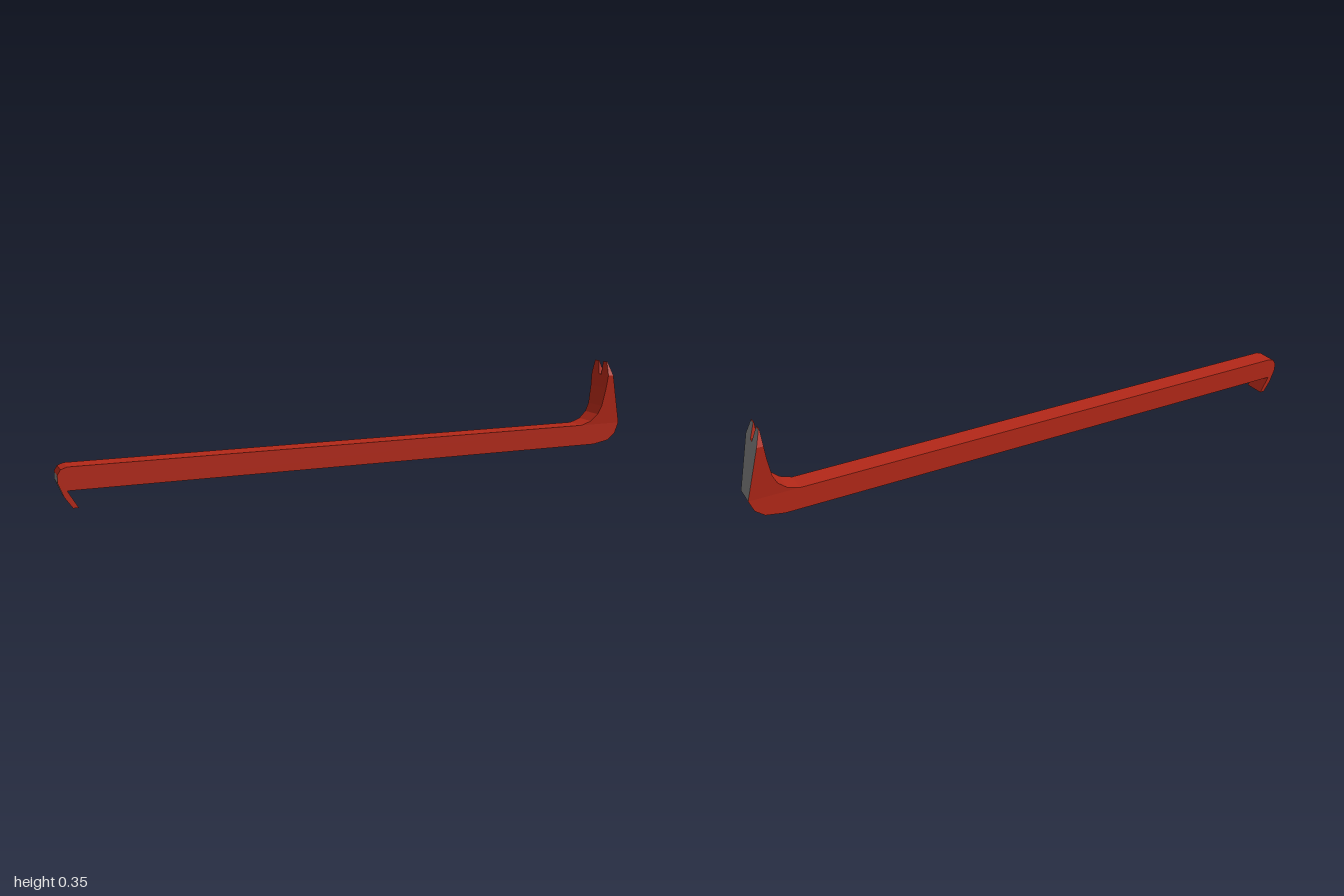
import * as THREE from 'three';

const RED = new THREE.MeshStandardMaterial({ color: 0xb32818, flatShading: true });
const STEEL = new THREE.MeshStandardMaterial({ color: 0x808080, flatShading: true });
const HALF = 0.036; // half depth of the bar

// Side profile pushed through the depth of the bar; z runs from -1 to 1.
function slab(points) {
  const shape = new THREE.Shape(points.map(([x, y]) => new THREE.Vector2(x, y)));
  const geo = new THREE.ExtrudeGeometry(shape, { depth: 2, bevelEnabled: false });
  return geo.translate(0, 0, -1);
}

// Sets each vertex depth by a rule of height and side.
function setDepth(geo, rule) {
  const p = geo.attributes.position;
  for (let i = 0; i < p.count; i++) p.setZ(i, rule(p.getY(i), p.getZ(i)));
  geo.computeVertexNormals();
  return geo;
}

// Splits a geometry into painted faces and bare steel faces along the given edge points.
function addPart(group, name, geo, steelEdge) {
  const p = geo.attributes.position;
  const red = [], steel = [];
  const onEdge = (i) => steelEdge.some(([x, y]) => Math.hypot(p.getX(i) - x, p.getY(i) - y) < 1e-4);
  for (let i = 0; i < p.count; i += 3) {
    const ids = [i, i + 1, i + 2];
    const isCap = Math.abs(geo.attributes.normal.getZ(i)) > 0.5;
    const target = !isCap && ids.every(onEdge) ? steel : red;
    for (const k of ids) target.push(p.getX(k), p.getY(k), p.getZ(k));
  }
  for (const [verts, material, suffix] of [[red, RED, 'Paint'], [steel, STEEL, 'Steel']]) {
    if (!verts.length) continue;
    const g = new THREE.BufferGeometry();
    g.setAttribute('position', new THREE.Float32BufferAttribute(verts, 3));
    g.computeVertexNormals();
    const mesh = new THREE.Mesh(g, material);
    mesh.name = name + suffix;
    group.add(mesh);
  }
}

export function createModel() {
  const group = new THREE.Group();
  group.name = 'pryBar';

  // Bar with the small hook at one end and the rounded heel at the other
  const hookBack = [[-1, 0.104], [-1, 0.08], [-0.982, 0.035], [-0.958, 0]];
  const bar = slab([
    ...hookBack, [-0.941, 0], [-0.973, 0.055],
    [0.895, 0.055], [0.955, 0.066], [0.985, 0.09], [1, 0.128],
    [-0.97, 0.128], [-0.99, 0.121],
  ]);
  addPart(group, 'bar', setDepth(bar, (y, s) => s * HALF), hookBack);

  // Claw shank, widening evenly towards the claw
  const shankBack = [[1, 0.128], [0.959, 0.305]];
  const shank = slab([
    ...shankBack, [0.938, 0.305], [0.933, 0.26], [0.921, 0.195],
    [0.907, 0.165], [0.88, 0.141], [0.842, 0.128],
  ]);
  const widen = (y, s) => s * (HALF + 0.016 * (y - 0.128) / 0.177);
  addPart(group, 'clawShank', setDepth(shank, widen), shankBack);

  // Two pointed prongs either side of the nail slot
  const prongBack = [[0.959, 0.305], [0.943, 0.353]];
  for (const side of [1, -1]) {
    const prong = slab([...prongBack, [0.94, 0.353], [0.938, 0.305]]);
    const taper = (y, s) => {
      const t = (y - 0.305) / 0.048;
      const inner = 0.007 + 0.007 * t;
      const outer = 0.052 - 0.016 * t;
      return side * (s * side > 0 ? outer : inner);
    };
    addPart(group, side > 0 ? 'frontProng' : 'backProng', setDepth(prong, taper), prongBack);
  }
  return group;
}
